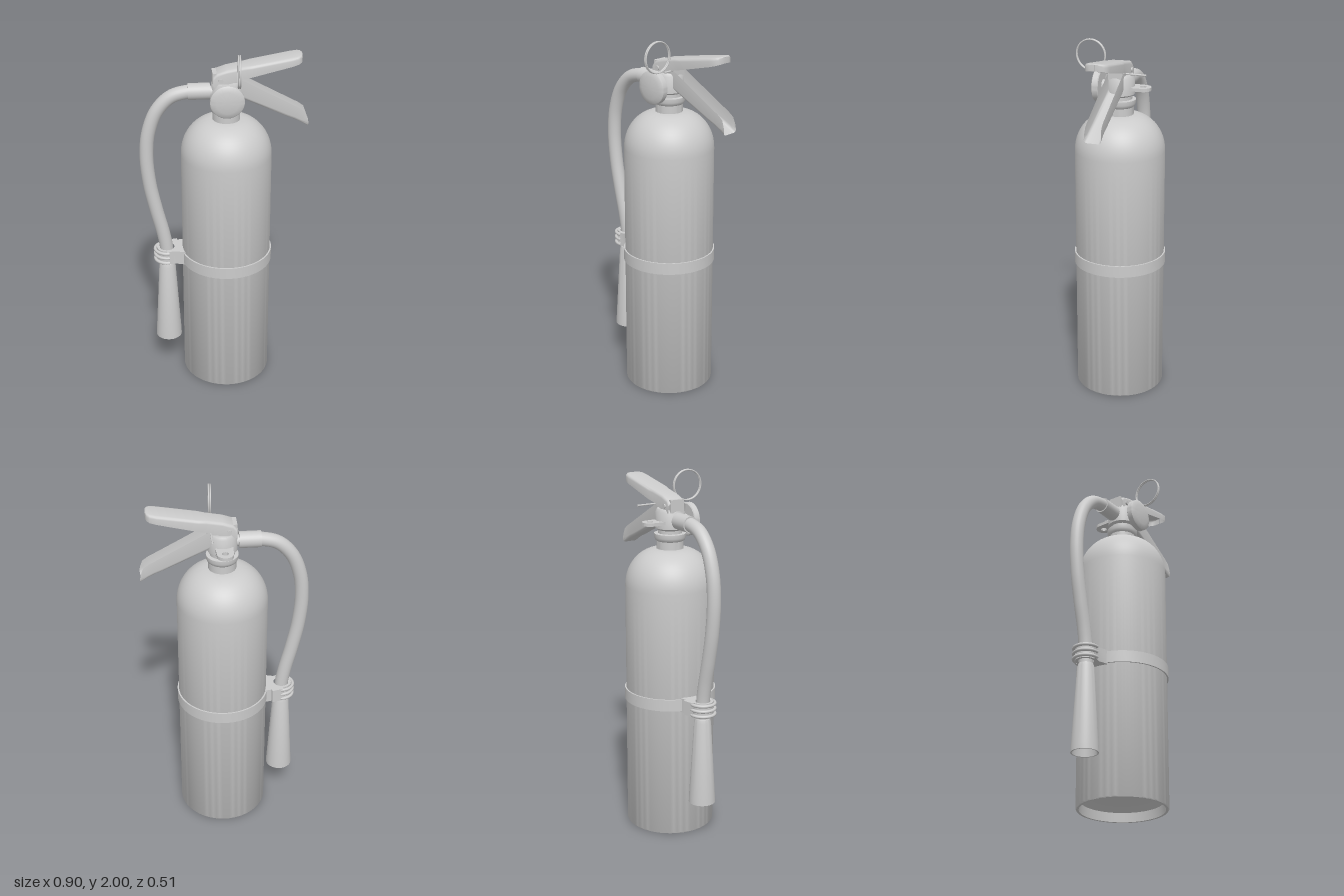
import * as THREE from 'three';
import { toCreasedNormals } from 'three/addons/utils/BufferGeometryUtils.js';

const CX = 0.013; // axis of the tank and valve
const material = new THREE.MeshStandardMaterial({ color: 0xcccccc });
const sheet = new THREE.MeshStandardMaterial({ color: 0xcccccc, side: THREE.DoubleSide });

export function createModel() {
  const model = new THREE.Group();
  model.name = 'fireExtinguisher';

  const add = (name, geometry, x = 0, y = 0, z = 0, mat = material) => {
    const mesh = new THREE.Mesh(geometry, mat);
    mesh.name = name;
    mesh.position.set(x, y, z);
    model.add(mesh);
    return mesh;
  };
  const lathe = (points, segments = 64) => toCreasedNormals(
    new THREE.LatheGeometry(points.map(p => new THREE.Vector2(...p)), segments), 0.6);
  const rod = (r, length, axis, segments = 32) => {
    const g = new THREE.CylinderGeometry(r, r, length, segments);
    if (axis === 'x') g.rotateZ(Math.PI / 2);
    if (axis === 'z') g.rotateX(Math.PI / 2);
    return g;
  };
  // horizontal plate from an outline in x and -z
  const plate = (shape, height) => toCreasedNormals(
    new THREE.ExtrudeGeometry(shape, { depth: height, bevelEnabled: false, curveSegments: 24 })
      .rotateX(-Math.PI / 2), 0.6);

  // tank: recessed base, straight wall, rounded shoulder
  const shoulder = [];
  for (let i = 0; i <= 14; i++) {
    const a = i / 14 * Math.PI / 2;
    shoulder.push([0.065 + 0.18 * Math.cos(a), 1.385 + 0.203 * Math.sin(a)]);
  }
  add('tank', lathe([[0, 0.1], [0.1, 0.09], [0.18, 0.07], [0.222, 0.05], [0.228, 0], [0.241, 0],
    [0.245, 0.006], ...shoulder, [0, 1.588]], 80), CX);

  // band round the tank
  add('band', lathe([[0.243, 0.735], [0.253, 0.735], [0.253, 0.8], [0.243, 0.8]], 80), CX);

  // neck, collar and valve body
  add('valveBody', lathe([[0.074, 1.58], [0.074, 1.63], [0.08, 1.635], [0.086, 1.65], [0.086, 1.67],
    [0.066, 1.672], [0.066, 1.69], [0.08, 1.7], [0.08, 1.79], [0.07, 1.805], [0, 1.805]], 48), CX);
  add('leverBracket', new THREE.BoxGeometry(0.15, 0.07, 0.08), 0.013, 1.825, 0);
  add('valveStem', rod(0.022, 0.08, 'y', 24), 0.03, 1.83, 0);
  add('leverPivot', rod(0.012, 0.124, 'z', 16), -0.02, 1.825, 0);

  // pressure gauge on the front
  add('gaugeStem', rod(0.03, 0.06, 'z'), 0.008, 1.735, 0.075);
  add('gauge', lathe([[0, 0.097], [0.085, 0.097], [0.09, 0.101], [0.09, 0.13], [0.084, 0.135],
    [0.06, 0.141], [0.03, 0.145], [0, 0.146]]).rotateX(Math.PI / 2), 0.008, 1.735, 0);

  // mounting lug with a hole on the back
  const lug = new THREE.Shape();
  lug.moveTo(-0.048, 0.03);
  lug.lineTo(0.048, 0.03);
  lug.lineTo(0.044, 0.128);
  lug.absarc(0, 0.128, 0.044, 0, Math.PI, false);
  lug.closePath();
  lug.holes.push(new THREE.Path().absarc(0, 0.128, 0.017, 0, Math.PI * 2, true));
  add('mountingLug', plate(lug, 0.018), 0.008, 1.725, 0);

  // levers: channels swept through stations of
  // [web x, web y, rim x, rim y, half width]
  const channel = stations => {
    const pos = [], index = [], n = 10;
    for (const [wx, wy, ex, ey, w] of stations) {
      const r = Math.min(0.016, w * 0.5), half = [];
      const depth = Math.hypot(ex - wx, ey - wy) || 1;
      half.push([w, 1]);
      for (let i = 0; i < 4; i++) {
        const a = i / 3 * Math.PI / 2;
        half.push([w - r + r * Math.cos(a), Math.min(1, r / depth) * (1 - Math.sin(a))]);
      }
      const section = [...half, ...half.slice().reverse().map(([z, t]) => [-z, t])];
      for (const [z, t] of section) pos.push(wx + (ex - wx) * t, wy + (ey - wy) * t, z);
    }
    for (let s = 0; s < stations.length - 1; s++) {
      for (let i = 0; i < n - 1; i++) {
        const a = s * n + i, b = a + n;
        index.push(a, a + 1, b, b, a + 1, b + 1);
      }
    }
    const g = new THREE.BufferGeometry();
    g.setAttribute('position', new THREE.Float32BufferAttribute(pos, 3));
    g.setIndex(index);
    // web above the rim needs the opposite winding to a web below it
    if (stations[0][1] > stations[0][3]) g.setIndex(index.reverse());
    g.computeVertexNormals();
    return toCreasedNormals(g, 0.7);
  };
  add('squeezeLever', channel([
    [-0.058, 1.84, -0.058, 1.79, 0.054], [-0.04, 1.86, -0.04, 1.79, 0.054],
    [0.013, 1.878, 0.013, 1.8, 0.054], [0.1, 1.894, 0.1, 1.83, 0.055],
    [0.14, 1.901, 0.14, 1.84, 0.062], [0.35, 1.938, 0.35, 1.892, 0.062],
    [0.385, 1.944, 0.385, 1.902, 0.058], [0.4, 1.946, 0.4, 1.907, 0.046],
    [0.407, 1.945, 0.407, 1.91, 0.028], [0.408, 1.944, 0.408, 1.911, 0.001],
  ]), 0, 0, 0, sheet);
  add('carryHandle', channel([
    [0.03, 1.75, 0.04, 1.845, 0.042], [0.09, 1.715, 0.1, 1.815, 0.042],
    [0.2, 1.662, 0.23, 1.742, 0.042], [0.325, 1.603, 0.36, 1.67, 0.042],
    [0.37, 1.584, 0.4, 1.648, 0.042], [0.405, 1.566, 0.43, 1.625, 0.043],
    [0.427, 1.554, 0.443, 1.59, 0.045], [0.444, 1.545, 0.448, 1.56, 0.046],
  ]), 0, 0, 0, sheet);

  // safety pin and its split pull ring
  add('safetyPin', rod(0.005, 0.265, 'z', 12), 0.076, 1.823, -0.033);
  for (const x of [0.062, 0.071]) {
    const ring = add('pullRing', new THREE.TorusGeometry(0.082, 0.004, 8, 48), x, 1.909, 0.143);
    ring.rotation.y = Math.PI / 2 - 0.07;
  }

  // hose with its fittings
  add('hoseOutlet', rod(0.03, 0.08, 'x'), -0.06, 1.746, 0);
  add('hoseFerrule', rod(0.044, 0.116, 'x'), -0.132, 1.748, 0);
  const path = new THREE.CatmullRomCurve3([
    [-0.15, 1.748], [-0.2, 1.746], [-0.28, 1.722], [-0.355, 1.645], [-0.403, 1.52], [-0.417, 1.38],
    [-0.404, 1.21], [-0.373, 1.05], [-0.338, 0.9], [-0.322, 0.8], [-0.32, 0.68],
  ].map(([x, y]) => new THREE.Vector3(x, y, 0)));
  add('hose', new THREE.TubeGeometry(path, 80, 0.037, 24));

  // hollow discharge horn
  add('nozzle', lathe([[0.03, 0.6], [0.066, 0.22], [0.073, 0.22], [0.072, 0.25], [0.046, 0.69],
    [0.04, 0.71], [0.03, 0.715]], 40), -0.32, 0, 0, sheet);

  // hose clip: bracket against the tank, sleeve and three outer ribs
  const clip = new THREE.Shape();
  [[-0.33, 0.068], [-0.262, 0.085], [-0.258, 0.07], [-0.205, 0.08], [-0.205, -0.077],
    [-0.28, -0.056], [-0.33, -0.068]].forEach(([x, y], i) => i ? clip.lineTo(x, y) : clip.moveTo(x, y));
  clip.absarc(-0.32, 0, 0.056, -Math.PI / 2, Math.PI / 2, true);
  clip.closePath();
  clip.holes.push(new THREE.Path().absarc(-0.32, 0, 0.042, 0, Math.PI * 2, true));
  add('hoseClip', plate(clip, 0.08), 0, 0.728, 0);
  for (const y of [0.738, 0.768, 0.798]) {
    const rib = new THREE.TorusGeometry(0.066, 0.009, 10, 32, Math.PI * 1.1);
    rib.rotateZ(Math.PI * 0.45).rotateX(Math.PI / 2);
    add('clipRib', rib, -0.32, y, 0);
  }
  return model;
}
